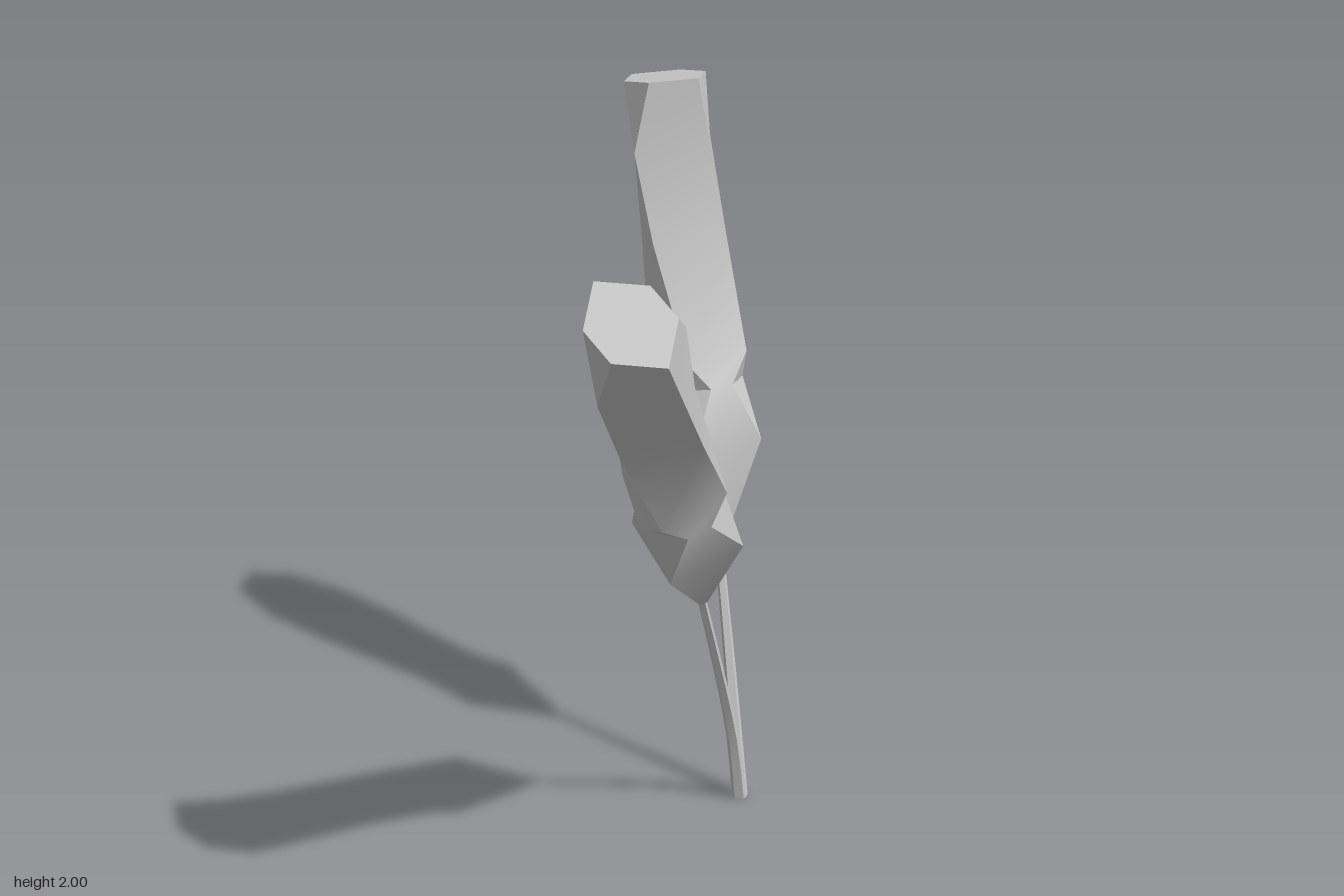
import * as THREE from 'three';
import { toCreasedNormals } from 'three/addons/utils/BufferGeometryUtils.js';

const material = () => new THREE.MeshStandardMaterial({ color: 0xcccccc, side: THREE.DoubleSide });
const V = (x, y, z) => new THREE.Vector3(x, y, z);

// Closed skin through rings of equal point count, capped at both ends
function loft(rings) {
  const pos = [];
  const tri = (a, b, c) => {
    const area = b.clone().sub(a).cross(c.clone().sub(a)).length();
    if (area > 1e-7) for (const p of [a, b, c]) pos.push(p.x, p.y, p.z);
  };
  const n = rings[0].length;
  const centre = (r) => r.reduce((s, p) => s.add(p), V(0, 0, 0)).divideScalar(n);
  const bottom = rings[0], top = rings[rings.length - 1];
  const cb = centre(bottom), ct = centre(top);
  for (let i = 0; i < n; i++) {
    const j = (i + 1) % n;
    for (let k = 0; k < rings.length - 1; k++) {
      const lo = rings[k], hi = rings[k + 1];
      tri(lo[i], hi[i], lo[j]);
      tri(hi[i], hi[j], lo[j]);
    }
    tri(cb, bottom[i], bottom[j]);
    tri(ct, top[j], top[i]);
  }
  const g = new THREE.BufferGeometry();
  g.setAttribute('position', new THREE.Float32BufferAttribute(pos, 3));
  return toCreasedNormals(g, 0.5);
}

// Four-cornered bud; each corner is a pair of points that can spread into a chamfer
// [place on spine, turn of first corner, half spread, radius, half spread of side corners, side radius]
const BUD_RINGS = [
  [0, 52, 0, 0.014, 0, 0.014],
  [0.227, 52, 0, 0.147, 0, 0.147],
  [0.355, 52, 28, 0.113, 28, 0.113], // pinched neck
  [0.415, 49, 0, 0.132, 0, 0.132],
  [0.67, 72, 0, 0.138, 0, 0.138],
  [0.86, 82, 0, 0.14, 0, 0.14],
  [1, 90, 31, 0.108, 0, 0.148], // six-sided tip
];

// Bud rings set square to a gently bent spine
function budGeometry(spine, across) {
  return loft(BUD_RINGS.map(([t, turn, spread, r, sideSpread, sideR]) => {
    const centre = spine.getPoint(t), axis = spine.getTangent(t);
    const z = across.clone().cross(axis).normalize();
    const x = axis.clone().cross(z);
    const ring = [];
    for (let k = 0; k < 4; k++) {
      const s = k % 2 ? sideSpread : spread, rad = k % 2 ? sideR : r;
      for (const sign of [-1, 1]) {
        const a = THREE.MathUtils.degToRad(turn + 90 * k + sign * s);
        ring.push(centre.clone().addScaledVector(x, rad * Math.cos(a)).addScaledVector(z, rad * Math.sin(a)));
      }
    }
    return ring;
  }));
}

// Thin tapering stalk along a curve
function stemGeometry(points) {
  const curve = new THREE.CatmullRomCurve3(points);
  const rings = [];
  for (let k = 0; k <= 6; k++) {
    const c = curve.getPoint(k / 6), r = 0.021 - 0.009 * (k / 6);
    rings.push([0, 1, 2, 3, 4].map((i) => {
      const a = (i / 5) * Math.PI * 2;
      return V(c.x + r * Math.cos(a), c.y, c.z + r * Math.sin(a));
    }));
  }
  return loft(rings);
}

function makeSprout(name, path, budControls, across) {
  const group = new THREE.Group();
  group.name = name;
  const stem = new THREE.Mesh(stemGeometry(path), material());
  stem.name = 'stem';
  const spine = new THREE.CubicBezierCurve3(path[path.length - 1], ...budControls);
  const bud = new THREE.Mesh(budGeometry(spine, across), material());
  bud.name = 'bud';
  group.add(stem, bud);
  return group;
}

export function createModel() {
  const model = new THREE.Group();
  model.name = 'buddingSprouts';
  model.add(
    makeSprout('uprightSprout',
      [V(-0.21, 0, -0.445), V(-0.265, 0.37, -0.447), V(-0.32, 0.72, -0.447)],
      [V(-0.385, 1.14, -0.447), V(-0.485, 1.55, -0.447), V(-0.565, 1.968, -0.447)],
      V(0.98, 0.195, 0)),
    makeSprout('leaningSprout',
      [V(-0.21, 0, -0.44), V(-0.17, 0.21, -0.385), V(-0.115, 0.41, -0.305), V(-0.012, 0.745, -0.155)],
      [V(0.115, 1.14, 0.015), V(0.4, 1.48, 0.3), V(0.583, 1.828, 0.508)],
      V(0.93, -0.37, 0)),
  );
  return model;
}
